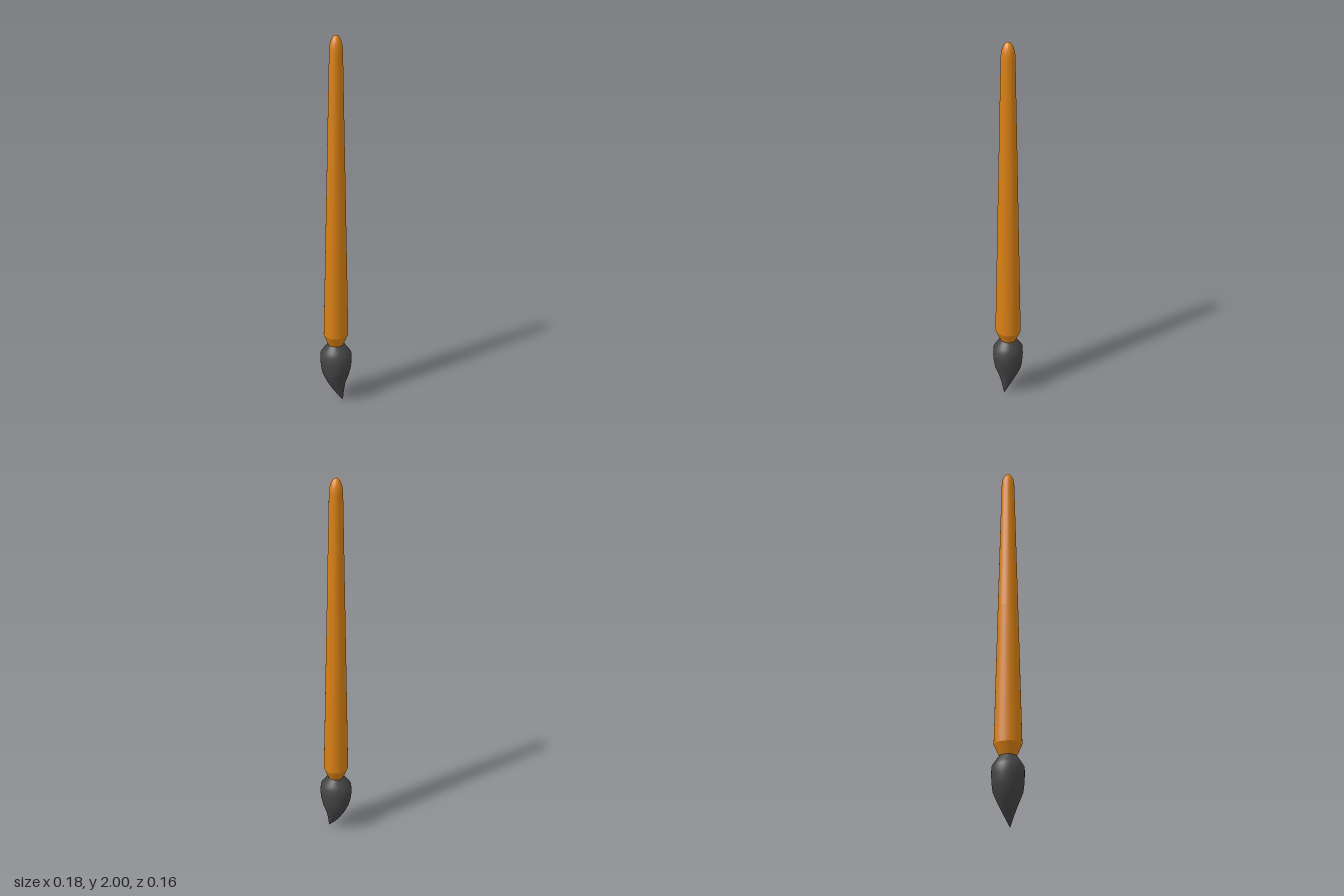
import * as THREE from 'three';
import { toCreasedNormals } from 'three/addons/utils/BufferGeometryUtils.js';

const SIDES = 32;

// Lofts elliptical rings, listed bottom to top as [y, radiusX, radiusZ, shiftX]
function loft(rings, crease) {
  const positions = [], index = [];
  for (const [y, rx, rz, shift = 0] of rings) {
    for (let i = 0; i < SIDES; i++) {
      const a = (i / SIDES) * Math.PI * 2;
      positions.push(shift + rx * Math.sin(a), y, rz * Math.cos(a));
    }
  }
  for (let r = 0; r < rings.length - 1; r++) {
    for (let i = 0; i < SIDES; i++) {
      const a = r * SIDES + i, b = r * SIDES + (i + 1) % SIDES;
      const c = a + SIDES, d = b + SIDES;
      if (rings[r][1] > 0) index.push(a, b, d);
      if (rings[r + 1][1] > 0) index.push(a, d, c);
    }
  }
  const geometry = new THREE.BufferGeometry();
  geometry.setAttribute('position', new THREE.Float32BufferAttribute(positions, 3));
  geometry.setIndex(index);
  geometry.computeVertexNormals();
  return toCreasedNormals(geometry, crease);
}

function part(name, geometry, color) {
  const mesh = new THREE.Mesh(geometry, new THREE.MeshStandardMaterial({ color }));
  mesh.name = name;
  return mesh;
}

export function createModel() {
  const group = new THREE.Group();
  group.name = 'paintbrush';

  // Tapered handle with a narrowed neck and a domed end
  const handle = [
    [0.34, 0, 0], [0.34, 0.041, 0.044], [0.4, 0.066, 0.071],
    [1.15, 0.05, 0.054], [1.92, 0.0335, 0.036],
  ];
  for (let i = 1; i <= 6; i++) {
    const t = (i / 6) * Math.PI / 2;
    const c = i === 6 ? 0 : Math.cos(t);
    handle.push([1.92 + 0.08 * Math.sin(t), 0.0335 * c, 0.036 * c]);
  }
  group.add(part('handle', loft(handle, 0.35), 0xd98014));

  // Swollen bristle tuft whose point curls towards the left
  const curl = (y) => 1.9 * Math.max(0, 0.15 - y) ** 2;
  const tuft = [
    [0, 0, 0], [0.025, 0.015, 0.012], [0.06, 0.032, 0.028], [0.105, 0.05, 0.05],
    [0.16, 0.073, 0.074], [0.2, 0.083, 0.079], [0.24, 0.088, 0.081],
    [0.285, 0.085, 0.081], [0.31, 0.067, 0.065], [0.34, 0.042, 0.044], [0.34, 0, 0],
  ].map(([y, rx, rz]) => [y, rx, rz, curl(y)]);
  group.add(part('bristles', loft(tuft, 0.7), 0x444444));

  return group;
}
